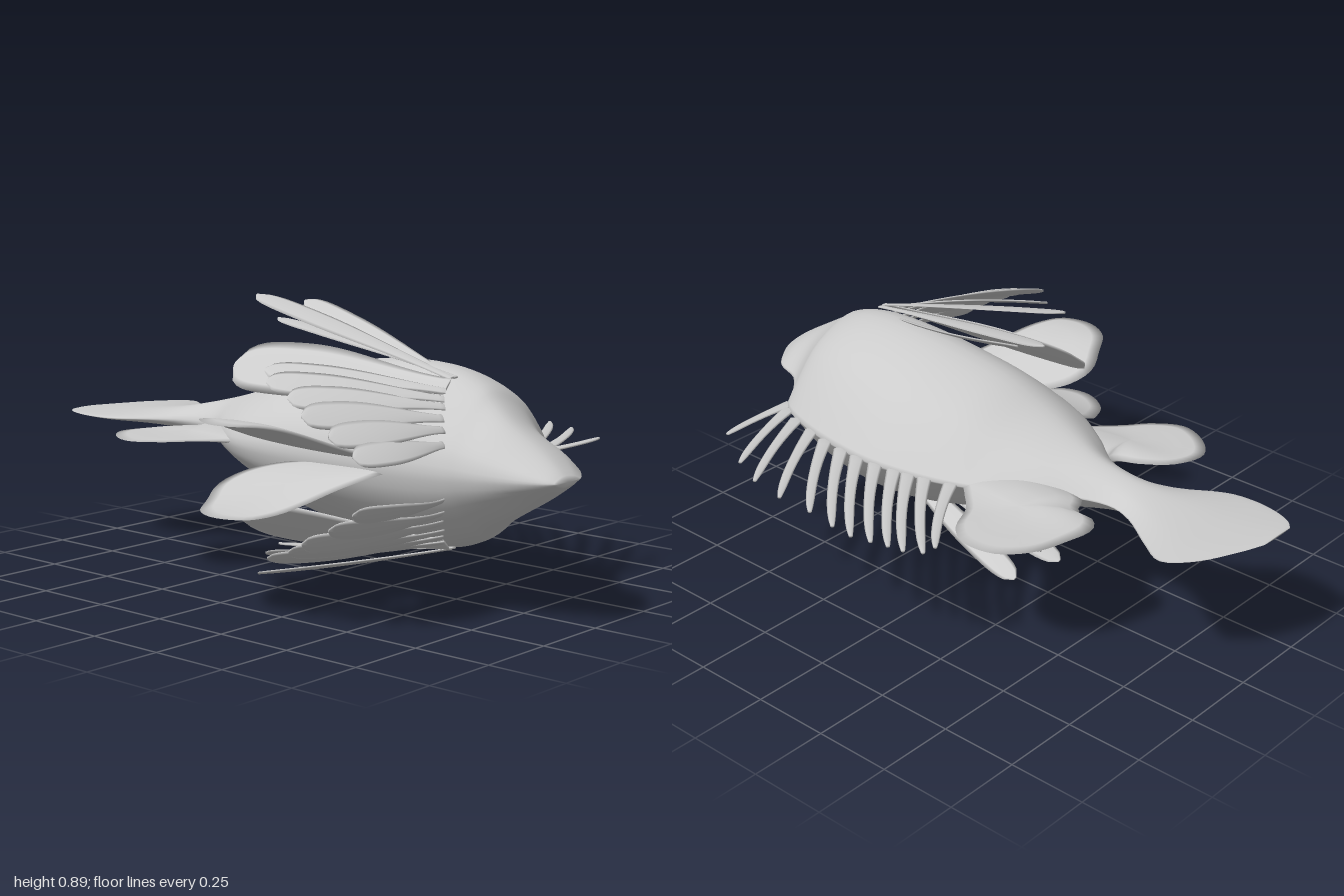
import * as THREE from 'three';

const material = new THREE.MeshStandardMaterial({ color: 0xcccccc, side: THREE.DoubleSide });
const V = (x, y, z) => new THREE.Vector3(x, y, z);
const smooth = THREE.MathUtils.smoothstep;

function surface(name, pos, index) {
  const g = new THREE.BufferGeometry();
  g.setAttribute('position', new THREE.Float32BufferAttribute(pos, 3));
  g.setIndex(index);
  g.computeVertexNormals();
  const mesh = new THREE.Mesh(g, material);
  mesh.name = name;
  return mesh;
}

// Skin closed rings of points and close both ends with their centres
function loft(name, rings) {
  const n = rings[0].length, pos = [], idx = [];
  rings.forEach(r => r.forEach(p => pos.push(p.x, p.y, p.z)));
  for (let i = 0; i < rings.length - 1; i++) {
    for (let j = 0; j < n; j++) {
      const a = i * n + j, b = i * n + (j + 1) % n;
      idx.push(a, b, a + n, b, b + n, a + n);
    }
  }
  [0, rings.length - 1].forEach(i => {
    const c = rings[i].reduce((s, p) => s.add(p), V(0, 0, 0)).divideScalar(n);
    const k = pos.length / 3;
    pos.push(c.x, c.y, c.z);
    for (let j = 0; j < n; j++) {
      const a = i * n + j, b = i * n + (j + 1) % n;
      if (i) idx.push(a, b, k); else idx.push(b, a, k);
    }
  });
  return surface(name, pos, idx);
}

// Lens-like fin from an outline in x and z; rules give its thickness and sideways offset
function lensFin(name, outline, thickness, offset = () => 0) {
  const curve = new THREE.CatmullRomCurve3(outline.map(([x, z]) => V(x, 0, z)), true);
  const pts = curve.getSpacedPoints(56).slice(0, -1);
  const c = pts.reduce((s, p) => s.add(p), V(0, 0, 0)).divideScalar(pts.length);
  const scales = [0.02, 0.3, 0.6, 0.85, 1, 0.85, 0.6, 0.3, 0.02];
  return loft(name, scales.map((s, i) => pts.map(p => {
    const q = c.clone().lerp(p, s);
    const side = Math.sign(4 - i);
    q.y = offset(q.x, q.z) + side * (thickness(q.z) * (1 - s * s) + 0.002);
    return q;
  })));
}

// Flat blade along a curve; profile gives the half width
function blade(name, curve, across, profile, thickness, steps) {
  const rings = [];
  for (let i = 0; i <= steps; i++) {
    const t = i / steps, p = curve.getPoint(t), tan = curve.getTangent(t);
    const w = across.clone().addScaledVector(tan, -across.dot(tan)).normalize();
    const n = V(0, 0, 0).crossVectors(tan, w);
    const ring = [];
    for (let j = 0; j < 8; j++) {
      const a = j / 8 * Math.PI * 2;
      ring.push(p.clone().addScaledVector(w, Math.cos(a) * profile(t))
        .addScaledVector(n, Math.sin(a) * thickness));
    }
    rings.push(ring);
  }
  return loft(name, rings);
}

// Body and tail: x, dorsal z, belly z, half width
function buildBody() {
  const sections = [
    [1.0, 0.09, 0.20, 0.012], [0.97, 0.04, 0.225, 0.035], [0.9, -0.04, 0.255, 0.08],
    [0.8, -0.08, 0.28, 0.14], [0.72, -0.16, 0.29, 0.19], [0.66, -0.24, 0.30, 0.23],
    [0.55, -0.29, 0.31, 0.265], [0.4, -0.325, 0.315, 0.277], [0.2, -0.34, 0.32, 0.262],
    [0, -0.305, 0.32, 0.218], [-0.15, -0.25, 0.295, 0.155], [-0.28, -0.18, 0.22, 0.112],
    [-0.4, -0.10, 0.13, 0.08], [-0.52, -0.06, 0.115, 0.052], [-0.62, -0.085, 0.155, 0.034],
    [-0.74, -0.165, 0.235, 0.022], [-0.83, -0.21, 0.252, 0.015], [-0.91, -0.14, 0.243, 0.01],
    [-0.97, -0.02, 0.22, 0.005], [-1.0, 0.06, 0.19, 0.003]];
  const edges = new THREE.CatmullRomCurve3(sections.map(s => V(s[0], s[1], s[2])), false, 'catmullrom');
  const widths = new THREE.CatmullRomCurve3(sections.map(s => V(s[0], s[3], 0)), false, 'catmullrom');
  // Half cross-section from sharp back to rounded belly
  const half = new THREE.SplineCurve([[0, 0], [0.04, 0.13], [0.12, 0.38], [0.23, 0.66], [0.35, 0.84],
    [0.48, 0.96], [0.6, 1], [0.7, 0.93], [0.8, 0.76], [0.92, 0.46], [0.98, 0.22], [1, 0]]
    .map(p => new THREE.Vector2(...p))).getPoints(22);
  const loop = [...half, ...half.slice(1, -1).reverse().map(p => new THREE.Vector2(p.x, -p.y))];
  const rings = [];
  for (let i = 0; i <= 76; i++) {
    const e = edges.getPoint(i / 76), w = widths.getPoint(i / 76).y;
    rings.push(loop.map(p => V(e.x, p.y * w, e.y + (e.z - e.y) * p.x)));
  }
  return loft('body', rings);
}

// Fins of one side; y is measured from the middle of the body
function buildSide(name) {
  const side = new THREE.Group();
  side.name = name;
  // Pectoral rays: base, tip, direction of the flat width, half width, bend of the middle
  const rays = [
    [[0.58, 0.24, 0.12], [-0.16, 0.405, -0.055], [0, 0.5, -0.85], 0.042, [-0.02, -0.01, -0.045]],
    [[0.59, 0.25, 0.13], [-0.16, 0.36, 0.07], [0, 0.1, -1], 0.036, [0, 0.01, 0]],
    [[0.59, 0.25, 0.15], [-0.16, 0.44, 0.165], [0, -0.2, 1], 0.047, [0, 0.01, 0]],
    [[0.60, 0.23, 0.18], [-0.16, 0.235, 0.265], [0, -0.7, 0.7], 0.1, [0, 0.01, 0]],
    [[0.61, 0.22, 0.20], [0.17, 0.27, 0.48], [0.5, -0.4, 0.6], 0.05, [0.02, 0.015, 0.02]],
    [[0.62, 0.20, 0.22], [0.265, 0.255, 0.575], [0.6, -0.5, 0.4], 0.05, [0.02, 0.015, 0.02]],
    [[0.63, 0.18, 0.23], [0.36, 0.22, 0.59], [0.7, -0.6, 0.2], 0.047, [0.02, 0.015, 0.02]],
    [[0.64, 0.15, 0.25], [0.44, 0.18, 0.62], [0.7, -0.7, 0], 0.047, [0.03, 0.015, 0.01]],
    [[0.65, 0.12, 0.26], [0.53, 0.13, 0.61], [0.7, -0.7, 0], 0.045, [0.04, 0.015, 0]],
    [[0.66, 0.08, 0.27], [0.6, 0.08, 0.59], [0.7, -0.7, 0], 0.042, [0.05, 0.01, 0]]];
  rays.forEach(([base, tip, across, width, bend]) => {
    const b = V(...base), t = V(...tip);
    const curve = new THREE.QuadraticBezierCurve3(b, b.clone().lerp(t, 0.5).add(V(...bend)), t);
    // Narrow stalk that swells into a rounded paddle
    const paddle = s => width * (0.3 + 0.7 * smooth(s, 0, 0.7))
      * Math.sqrt(Math.max(0.02, 1 - Math.pow(s, 16)));
    side.add(blade('pectoralRay', curve, V(...across), paddle, 0.004, 32));
  });
  // Pelvic fin, leaning outward from the belly
  side.add(lensFin('pelvicFin', [[0.48, 0.27], [0.3, 0.27], [0.1, 0.33], [0, 0.41], [-0.025, 0.48],
    [0.01, 0.56], [0.06, 0.64], [0.15, 0.685], [0.24, 0.665], [0.29, 0.6], [0.38, 0.44]], () => 0.012,
  (x, z) => 0.008 + 0.125 * smooth(z, 0.22, 0.65)));
  return side;
}

export function createModel() {
  const model = new THREE.Group();
  model.name = 'spinyFish';
  const fish = new THREE.Group();
  fish.name = 'fish';
  fish.position.y = 0.455;
  model.add(fish);
  fish.add(buildBody());

  // Soft dorsal and anal fins, thick at the root and thin outside
  const rootThickness = z => 0.005 + 0.045 * (1 - smooth(Math.abs(z), 0.1, 0.36));
  fish.add(lensFin('softDorsalFin', [[-0.08, -0.2], [-0.15, -0.28], [-0.22, -0.35], [-0.27, -0.45],
    [-0.34, -0.5], [-0.45, -0.49], [-0.53, -0.41], [-0.565, -0.3], [-0.578, -0.2], [-0.54, -0.152],
    [-0.48, -0.145], [-0.44, -0.08], [-0.22, -0.08]], rootThickness));
  fish.add(lensFin('analFin', [[-0.1, 0.24], [-0.17, 0.31], [-0.24, 0.38], [-0.3, 0.45], [-0.39, 0.5],
    [-0.49, 0.46], [-0.55, 0.38], [-0.52, 0.28], [-0.44, 0.21], [-0.36, 0.17], [-0.34, 0.1],
    [-0.2, 0.12]], rootThickness));

  // Dorsal spines: base x, base z, tip x, tip z
  [[0.665, -0.22, 0.66, -0.5], [0.64, -0.25, 0.49, -0.6], [0.57, -0.28, 0.37, -0.65],
    [0.48, -0.3, 0.24, -0.67], [0.4, -0.32, 0.11, -0.67], [0.32, -0.33, 0, -0.685],
    [0.25, -0.33, -0.08, -0.69], [0.18, -0.32, -0.145, -0.675], [0.11, -0.31, -0.2, -0.66],
    [0.06, -0.3, -0.25, -0.65], [0.01, -0.28, -0.3, -0.62], [-0.08, -0.26, -0.305, -0.575]]
    .forEach(([bx, bz, tx, tz]) => {
      const curve = new THREE.QuadraticBezierCurve3(V(bx, 0, bz),
        V((bx + tx) / 2 + 0.015, 0, (bz + tz) / 2 - 0.02), V(tx, 0, tz));
      fish.add(blade('dorsalSpine', curve, V(1, 0, -0.2),
        t => 0.006 + 0.018 * (1 - t) * (1 - t) + 0.012 * t * (1 - Math.pow(t, 6)), 0.004, 12));
    });

  // Paired fins, mirrored across the body
  const upper = buildSide('upperSideFins'), lower = buildSide('lowerSideFins');
  lower.scale.y = -1;
  fish.add(upper, lower);
  return model;
}
